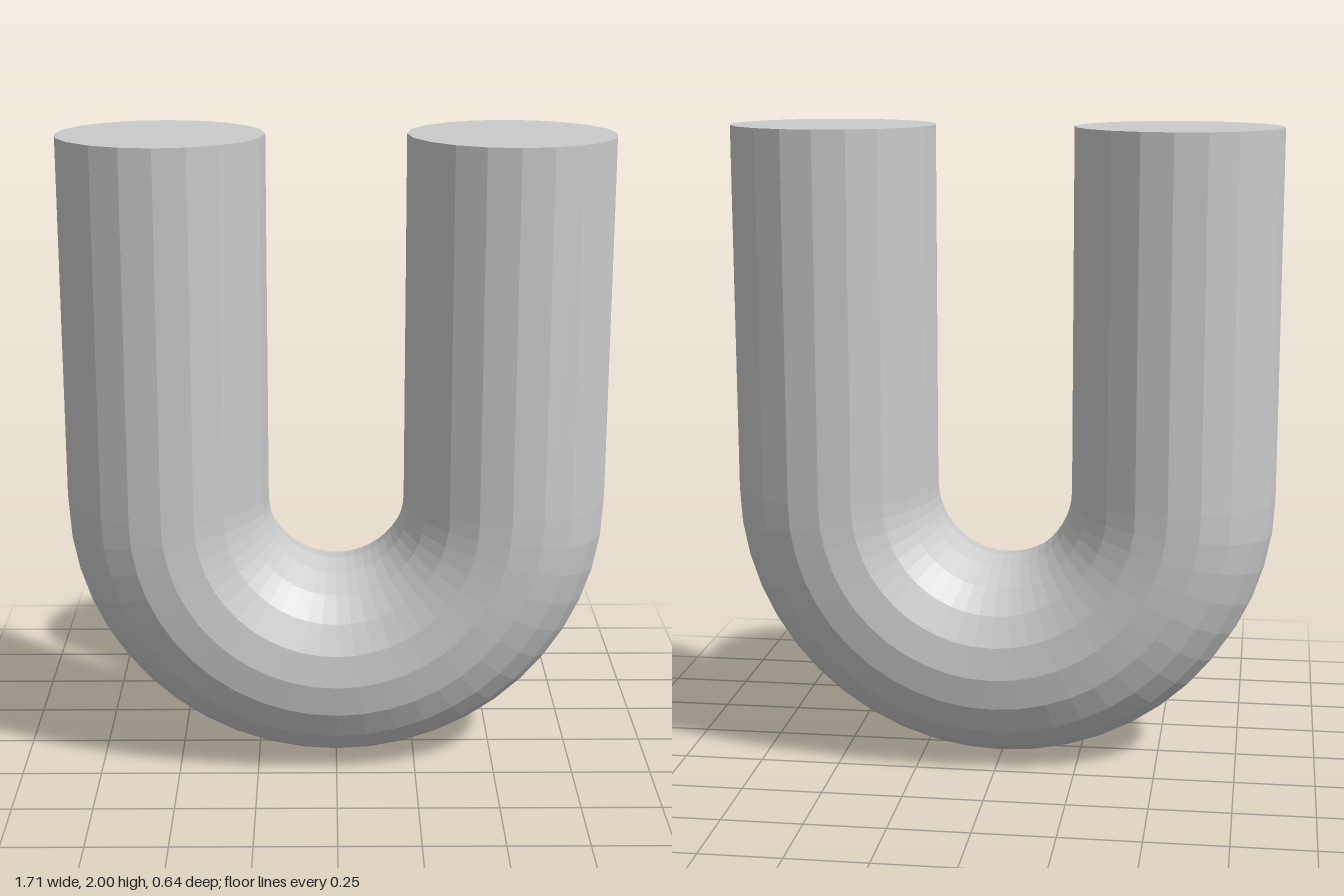
import * as THREE from 'three';

const TUBE = 0.32;      // tube radius
const BEND = 0.535;     // bend radius at the tube's centre line
const BEND_Y = BEND + TUBE;
const TOP = 2;
const SIDES = 20;

export function createModel() {
  const group = new THREE.Group();
  group.name = 'uTube';
  const material = new THREE.MeshStandardMaterial({ color: 0xcccccc, flatShading: true });

  const add = (name, geometry, x, y) => {
    const mesh = new THREE.Mesh(geometry, material);
    mesh.name = name;
    mesh.position.set(x, y, 0);
    group.add(mesh);
  };

  // Lower half-ring joining the legs
  const bend = new THREE.TorusGeometry(BEND, TUBE, SIDES, 24, Math.PI);
  bend.rotateZ(Math.PI);
  add('bend', bend, 0, BEND_Y);

  // Straight legs, closed at the top and open into the bend
  const length = TOP - BEND_Y;
  const leg = new THREE.CylinderGeometry(TUBE, TUBE, length, SIDES, 1, true);
  const cap = new THREE.CircleGeometry(TUBE, SIDES).rotateX(-Math.PI / 2);
  for (const [side, sign] of [['left', 1], ['right', -1]]) {
    add(side + 'Leg', leg, sign * BEND, BEND_Y + length / 2);
    add(side + 'EndCap', cap, sign * BEND, TOP);
  }

  return group;
}
